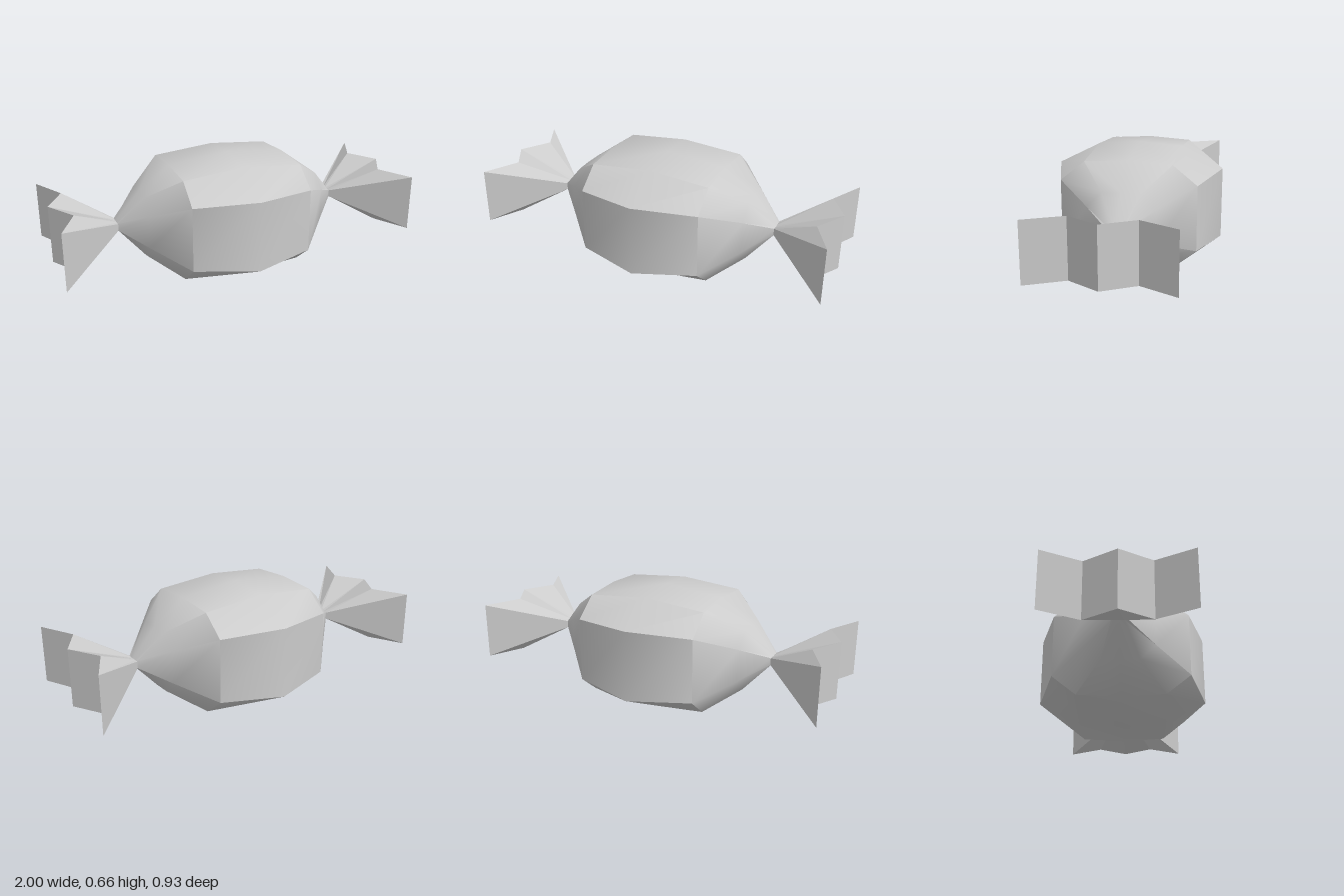
import * as THREE from 'three';
import { toCreasedNormals } from 'three/addons/utils/BufferGeometryUtils.js';

const MID = 0.333; // height of the long axis

// Skin a row of sections along +x. Each section is 5 points [x, z, h]
// from +z to -z, mirrored above and below the axis.
function loft(sections) {
  const pos = [];
  const rings = sections.map((s) => {
    const top = s.map(([x, z, h]) => [x, MID + h, z]);
    const low = s.map(([x, z, h]) => [x, MID - h, z]).reverse();
    return [...top, ...low];
  });
  const quad = (a, b, c, d) => pos.push(...a, ...b, ...c, ...a, ...c, ...d);
  for (let r = 0; r < rings.length - 1; r++) {
    const p = rings[r], q = rings[r + 1];
    for (let i = 0; i < 10; i++) {
      const j = (i + 1) % 10;
      quad(p[i], q[i], q[j], p[j]);
    }
  }
  // end caps, as strips between upper and lower points
  const first = rings[0], last = rings[rings.length - 1];
  for (let i = 0; i < 4; i++) {
    quad(last[i], last[9 - i], last[8 - i], last[i + 1]);
    quad(first[i], first[i + 1], first[8 - i], first[9 - i]);
  }
  const g = new THREE.BufferGeometry();
  g.setAttribute('position', new THREE.Float32BufferAttribute(pos, 3));
  g.computeVertexNormals();
  return g;
}

// Body section: half-widths and heights of the side edge, shoulder and crest
function bodySection(x, sideZ, sideH, shoulderZ, shoulderH, crestH) {
  return [
    [x, sideZ, sideH], [x, shoulderZ, shoulderH], [x, 0, crestH],
    [x, -shoulderZ, shoulderH], [x, -sideZ, sideH],
  ];
}

export function createModel() {
  const group = new THREE.Group();
  group.name = 'wrappedSweet';

  // Wrapped body, tapering to a pinch at both ends
  const half = [
    [0, 0.465, 0.196, 0.235, 0.313, 0.331],
    [0.34, 0.365, 0.177, 0.235, 0.283, 0.298],
    [0.515, 0.18, 0.09, 0.1, 0.167, 0.17],
    [0.65, 0.043, 0.018, 0.025, 0.02, 0.02],
  ];
  const ends = half.slice(1).reverse().map(([x, ...rest]) => [-x, ...rest]);
  const body = new THREE.Mesh(
    toCreasedNormals(loft([...ends, ...half].map((s) => bodySection(...s))), 0.65),
    new THREE.MeshStandardMaterial({ color: 0xcccccc }),
  );
  body.name = 'body';
  group.add(body);

  // Twisted wrapper ends, fanned out in a zigzag
  const fanX = [1, 0.9, 1, 0.9, 1];
  const fanZ = [0.365, 0.168, 0, -0.168, -0.365];
  const tailGeometry = loft([
    fanZ.map((z) => [0.645, z * 0.12, 0.018]),
    fanZ.map((z, i) => [fanX[i], z, 0.158]),
  ]);
  const tailMaterial = new THREE.MeshStandardMaterial({ color: 0xcccccc, flatShading: true });
  for (const [name, turn] of [['leftTail', 0], ['rightTail', Math.PI]]) {
    const tail = new THREE.Mesh(tailGeometry, tailMaterial);
    tail.name = name;
    tail.rotation.y = turn;
    group.add(tail);
  }
  return group;
}
